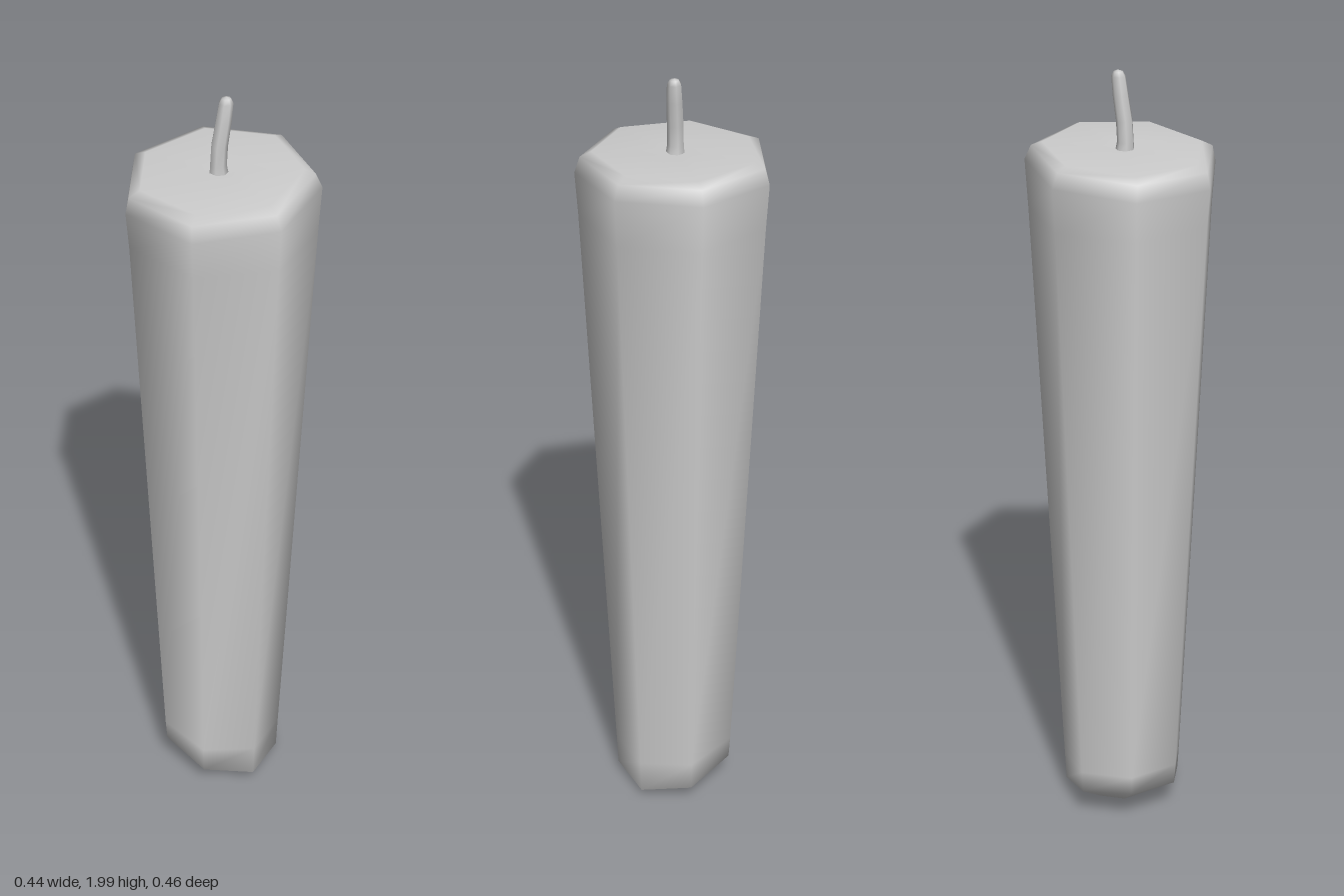
import * as THREE from 'three';
import { mergeVertices } from 'three/addons/utils/BufferGeometryUtils.js';

// Skin a stack of polygon rings, bottom to top, with smooth normals.
// Ring: [y, radius, centre x, centre z, slope along x, slope along z]
function loft(rings, sides) {
  const positions = [], index = [];
  rings.forEach(([y, r, cx = 0, cz = 0, sx = 0, sz = 0], j) => {
    for (let i = 0; i < sides; i++) {
      const a = (i / sides) * Math.PI * 2;
      const x = -Math.cos(a) * r, z = Math.sin(a) * r;
      positions.push(cx + x, y + sx * x + sz * z, cz + z);
      if (j === 0) continue;
      const n = (i + 1) % sides, lo = (j - 1) * sides, hi = j * sides;
      index.push(lo + i, lo + n, hi + n, lo + i, hi + n, hi + i);
    }
  });
  let geometry = new THREE.BufferGeometry();
  geometry.setAttribute('position', new THREE.Float32BufferAttribute(positions, 3));
  geometry.setIndex(index);
  geometry = mergeVertices(geometry, 1e-5);
  geometry.computeVertexNormals();
  return geometry;
}

export function createModel() {
  const group = new THREE.Group();
  group.name = 'candle';
  const wax = new THREE.MeshStandardMaterial({ color: 0xcccccc });
  wax.name = 'pale grey';

  const add = (name, geometry) => {
    const mesh = new THREE.Mesh(geometry, wax);
    mesh.name = name;
    group.add(mesh);
  };

  // Tapered seven-sided body with a worn, slanted foot and a bevelled, dished top
  add('candleBody', loft([
    [0.008, 0, 0.025, 0.025],
    [0.014, 0.075, 0.025, 0.025, -0.08, -0.06],
    [0.068, 0.153, 0, 0, -0.2, -0.2],
    [0.14, 0.157, 0, 0, -0.1, -0.1],
    [1.66, 0.227],
    [1.765, 0.234, 0, 0, 0.06, -0.01],
    [1.803, 0.222, -0.004, 0, 0.05, -0.01],
    [1.815, 0.195, -0.003, 0, 0.05, 0],
    [1.817, 0.04, 0, 0, 0.04, 0],
    [1.806, 0],
  ], 7));

  // Slightly bent wick
  add('wick', loft([
    [1.80, 0.024, -0.004],
    [1.83, 0.02, -0.006],
    [1.88, 0.02, -0.003],
    [1.94, 0.019, 0.007],
    [1.985, 0.017, 0.013],
    [1.996, 0.011, 0.014],
    [2.0, 0, 0.015],
  ], 7));

  return group;
}
